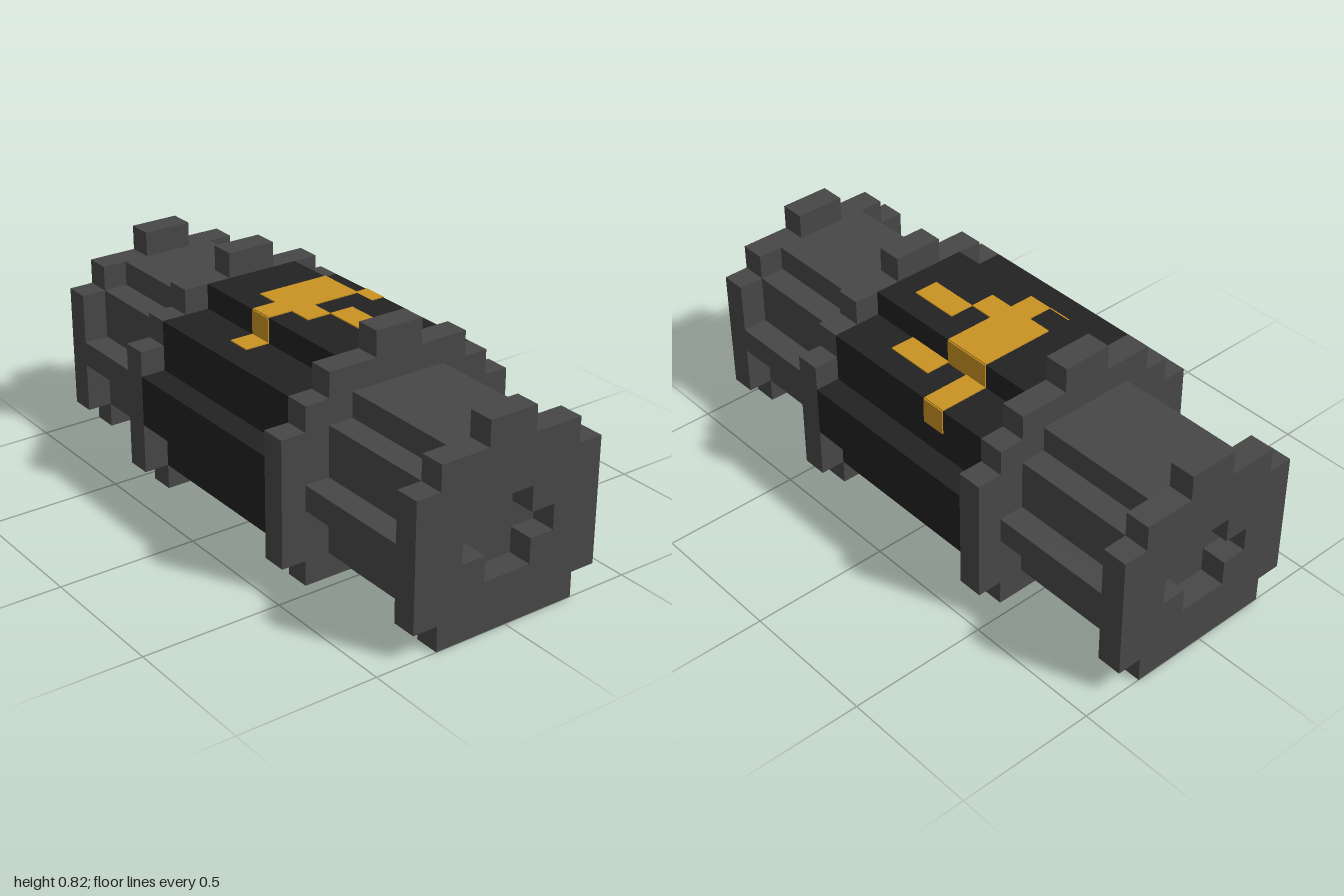
import * as THREE from 'three';

const U = 1 / 11; // one block

const housing = new THREE.MeshStandardMaterial({ color: 0x474747 });
housing.name = 'grey housing';
const dark = new THREE.MeshStandardMaterial({ color: 0x222222 });
dark.name = 'dark core';
const gold = new THREE.MeshStandardMaterial({ color: 0xca9222 });
gold.name = 'gold inlay';

// Stepped, mirrored cross-sections: [bottom, top, half depth] in blocks, upwards
const BODY = [[0, 1, 2], [1, 3, 3], [3, 4, 4], [4, 6, 3], [6, 7, 2]];
const CAP = [[0, 1, 3], [1, 6, 4], [6, 7, 3], [7, 8, 1]];
const COLLAR = [[0, 1, 4], [1, 6, 5], [6, 7, 4], [7, 8, 3], [8, 9, 1]];
const CORE = [[0, 1, 3], [1, 3, 4], [3, 5, 5], [5, 7, 4], [7, 8, 2]];
const SOCKET = [[2, 3, 1], [3, 4, 2], [4, 5, 1]];

function outline(steps) {
  const half = steps.flatMap(([y0, y1, d]) => [[d, y0], [d, y1]]);
  const other = half.map(([d, y]) => [-d, y]).reverse();
  return [...half, ...other].map(([d, y]) => new THREE.Vector2(d * U, y * U));
}

// Extrudes a stepped section along x from block x0 to x1
function section(name, steps, x0, x1, material, hole) {
  const shape = new THREE.Shape(outline(steps));
  if (hole) shape.holes.push(new THREE.Path(outline(hole)));
  const geometry = new THREE.ExtrudeGeometry(shape, { depth: (x1 - x0) * U, bevelEnabled: false });
  geometry.rotateY(Math.PI / 2).translate(x0 * U, 0, 0);
  const mesh = new THREE.Mesh(geometry, material);
  mesh.name = name;
  return mesh;
}

// Thin plate half sunk into a face; the axis whose limits match is the thin one
function plate([x0, x1, y0, y1, z0, z1]) {
  const size = (a, b) => (a === b ? 0.008 : (b - a) * U);
  const mesh = new THREE.Mesh(
    new THREE.BoxGeometry(size(x0, x1), size(y0, y1), size(z0, z1)), gold);
  mesh.position.set((x0 + x1) * U / 2, (y0 + y1) * U / 2, (z0 + z1) * U / 2);
  mesh.name = 'goldInlay';
  return mesh;
}

export function createModel() {
  const model = new THREE.Group();
  model.name = 'cylinderDevice';

  // Dark middle barrel
  model.add(section('core', CORE, -4, 4, dark));

  // Matching housings at both ends
  for (const [side, s] of [['left', 1], ['right', -1]]) {
    const span = (a, b) => (s > 0 ? [a, b] : [-b, -a]);
    model.add(section(side + 'Collar', COLLAR, ...span(4, 5), housing));
    model.add(section(side + 'Body', BODY, ...span(5, 10), housing));
    model.add(section(side + 'EndCap', CAP, ...span(10, 11), housing, SOCKET));
  }

  // Gold inlay on the top, the upper ledges and the step walls
  const inlay = new THREE.Group();
  inlay.name = 'inlay';
  [
    [-2, 0, 8, 8, -2, 1],
    [0, 1, 8, 8, 0, 1],
    [-1, 0, 8, 8, 1, 2],
    [1, 3, 8, 8, -1, 0],
    [-1, 0, 7, 8, 2, 2],
    [-1, 0, 7, 7, 2, 3],
    [-2, 0, 7, 8, -2, -2],
    [-2, -1, 7, 7, -4, -2],
    [-2, -1, 6, 7, -4, -4],
    [0, 2, 7, 7, -3, -2],
  ].forEach((p) => inlay.add(plate(p)));
  model.add(inlay);

  return model;
}
